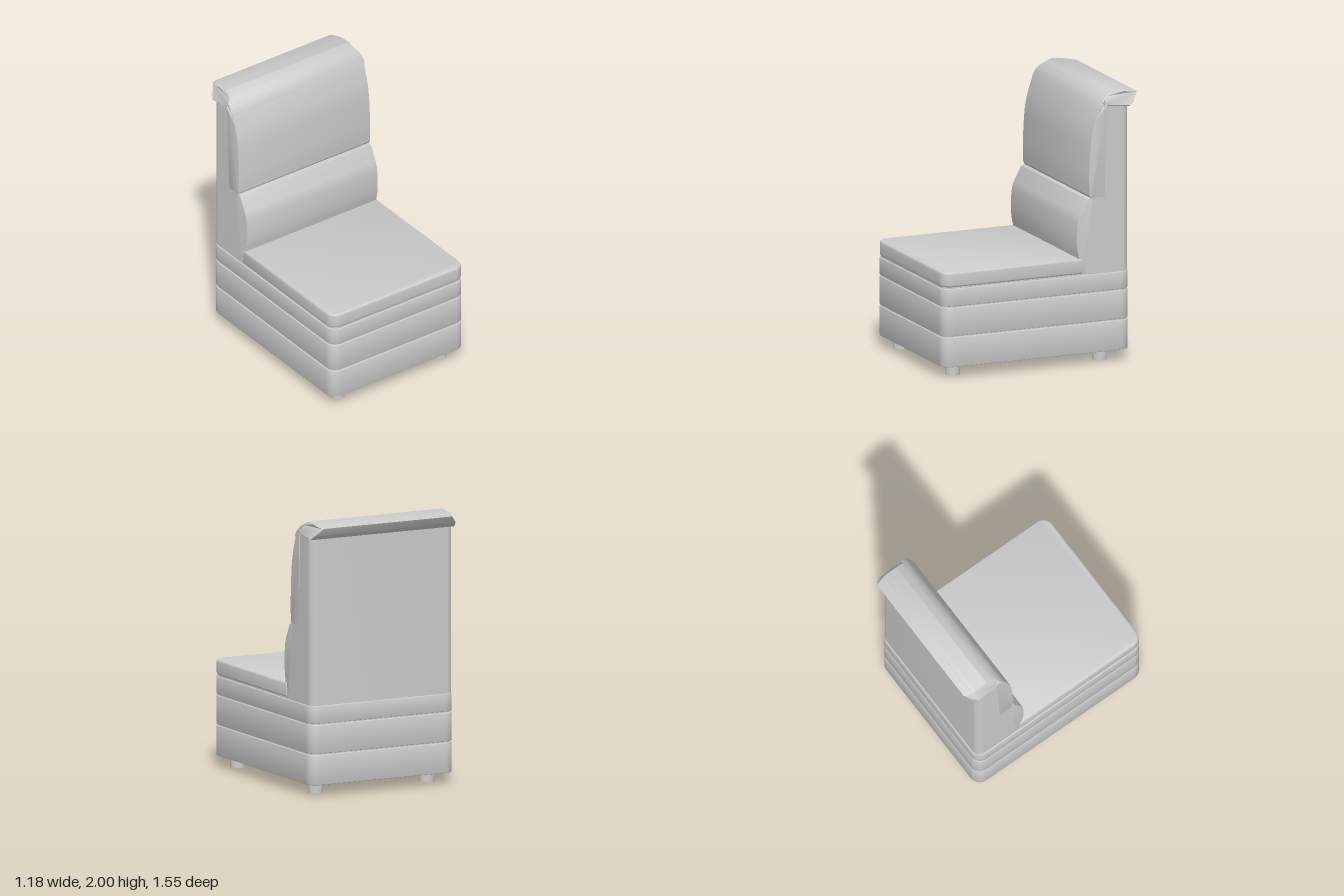
import * as THREE from 'three';
import { toCreasedNormals } from 'three/addons/utils/BufferGeometryUtils.js';

const material = new THREE.MeshStandardMaterial({ color: 0xcccccc, side: THREE.DoubleSide });

function addMesh(group, name, geometry, crease = 0.6) {
  const mesh = new THREE.Mesh(crease ? toCreasedNormals(geometry, crease) : geometry, material);
  mesh.name = name;
  group.add(mesh);
  return mesh;
}

// Plan outline; the shape's y axis is -z, so "front" and "back" are z values
function plan(halfWidth, front, back, frontRadius, backRadius) {
  const s = new THREE.Shape();
  const w = halfWidth, f = -front, b = -back, r = frontRadius, q = backRadius;
  s.moveTo(-w + r, f);
  s.lineTo(w - r, f);
  if (r) s.absarc(w - r, f + r, r, -Math.PI / 2, 0, false);
  s.lineTo(w, b - q);
  if (q) s.absarc(w - q, b - q, q, 0, Math.PI / 2, false);
  s.lineTo(-w + q, b);
  if (q) s.absarc(-w + q, b - q, q, Math.PI / 2, Math.PI, false);
  s.lineTo(-w, f + r);
  if (r) s.absarc(-w + r, f + r, r, Math.PI, Math.PI * 1.5, false);
  return s;
}

// Horizontal slab between two heights with softened rims
function slab(shape, y0, y1, bevel, bevelSegments = 3) {
  const g = new THREE.ExtrudeGeometry(shape, {
    depth: y1 - y0 - 2 * bevel, curveSegments: 8,
    bevelEnabled: bevel > 0, bevelThickness: bevel, bevelSize: bevel, bevelOffset: -bevel, bevelSegments
  });
  g.rotateX(-Math.PI / 2);
  g.translate(0, y0 + bevel, 0);
  return g;
}

// Side profile given as (z, y), swept across the width
function sweepAcross(shape, halfWidth, bevel) {
  const depth = 2 * (halfWidth - bevel);
  const g = new THREE.ExtrudeGeometry(shape, {
    depth, curveSegments: 14,
    bevelThickness: bevel, bevelSize: bevel, bevelOffset: -bevel, bevelSegments: 2
  });
  g.translate(0, 0, -depth / 2);
  g.rotateY(-Math.PI / 2);
  return g;
}

function editVertices(geometry, rule) {
  const p = geometry.attributes.position, v = new THREE.Vector3();
  for (let i = 0; i < p.count; i++) {
    rule(v.fromBufferAttribute(p, i));
    p.setXYZ(i, v.x, v.y, v.z);
  }
  return geometry;
}

const points = (list) => list.map(([z, y]) => new THREE.Vector2(z, y));

export function createModel() {
  const model = new THREE.Group();
  model.name = 'boothSeat';

  // Base: three stacked panels, with an inset block showing in the grooves
  const base = new THREE.Group();
  base.name = 'base';
  model.add(base);
  [[0.085, 0.306], [0.314, 0.526], [0.534, 0.665]].forEach(([y0, y1], i) =>
    addMesh(base, `basePanel${i + 1}`, slab(plan(0.592, 0.777, -0.703, 0.08, 0.08), y0, y1, 0.007, 2)));
  addMesh(base, 'baseCore', slab(plan(0.582, 0.767, -0.693, 0.07, 0.07), 0.1, 0.68, 0));

  // Seat cushion, gently crowned at the front and side rims
  addMesh(model, 'seatCushion', slab(plan(0.59, 0.775, -0.325, 0.08, 0.01), 0.673, 0.787, 0.018, 4));

  // Backrest shell: rounded rear corners, front face leaning back
  const shell = slab(plan(0.583, -0.35, -0.695, 0, 0.06), 0.66, 1.93, 0);
  editVertices(shell, (v) => {
    if (v.z > -0.5) v.z = v.y > 1 ? -0.5 : -0.335;
    else if (v.y > 1) v.y = 1.895;
  });
  addMesh(model, 'backrestShell', shell);

  // Lumbar cushion
  const lumbar = new THREE.Shape();
  lumbar.moveTo(-0.5, 0.67);
  lumbar.lineTo(-0.325, 0.67);
  lumbar.lineTo(-0.32, 0.74);
  lumbar.lineTo(-0.297, 0.785);
  lumbar.splineThru(points([[-0.284, 0.86], [-0.28, 0.95], [-0.291, 1.07], [-0.325, 1.15], [-0.362, 1.22]]));
  lumbar.lineTo(-0.385, 1.229);
  lumbar.lineTo(-0.5, 1.229);
  lumbar.closePath();
  addMesh(model, 'lumbarCushion', sweepAcross(lumbar, 0.582, 0.006));

  // Upper cushion, rolling over the top into a rear lip
  const upper = new THREE.Shape();
  upper.moveTo(-0.5, 1.225);
  upper.lineTo(-0.39, 1.225);
  upper.lineTo(-0.379, 1.245);
  upper.splineThru(points([[-0.376, 1.4], [-0.392, 1.65], [-0.43, 1.81], [-0.478, 1.92], [-0.53, 1.975], [-0.59, 1.999]]));
  upper.splineThru(points([[-0.68, 1.99], [-0.777, 1.972]]));
  upper.lineTo(-0.735, 1.915);
  upper.lineTo(-0.695, 1.882);
  upper.lineTo(-0.52, 1.9);
  upper.closePath();
  const upperGeometry = editVertices(sweepAcross(upper, 0.584, 0.006), (v) => {
    // Ends taper in along the crown and round off toward the lip
    const crown = THREE.MathUtils.smoothstep(v.y, 1.9, 2.0) * 0.035;
    const lip = Math.pow(THREE.MathUtils.clamp((-0.66 - v.z) / 0.117, 0, 1), 2) * 0.03;
    v.x -= Math.sign(v.x) * (crown + lip - (v.y > 1.87 && v.y < 1.96 ? 0.008 : 0));
  });
  addMesh(model, 'upperCushion', upperGeometry);

  // Feet
  for (const x of [-0.456, 0.456]) {
    for (const z of [0.646, -0.516]) {
      const foot = addMesh(model, 'foot', new THREE.CylinderGeometry(0.054, 0.054, 0.1, 24));
      foot.position.set(x, 0.05, z);
    }
  }
  return model;
}
